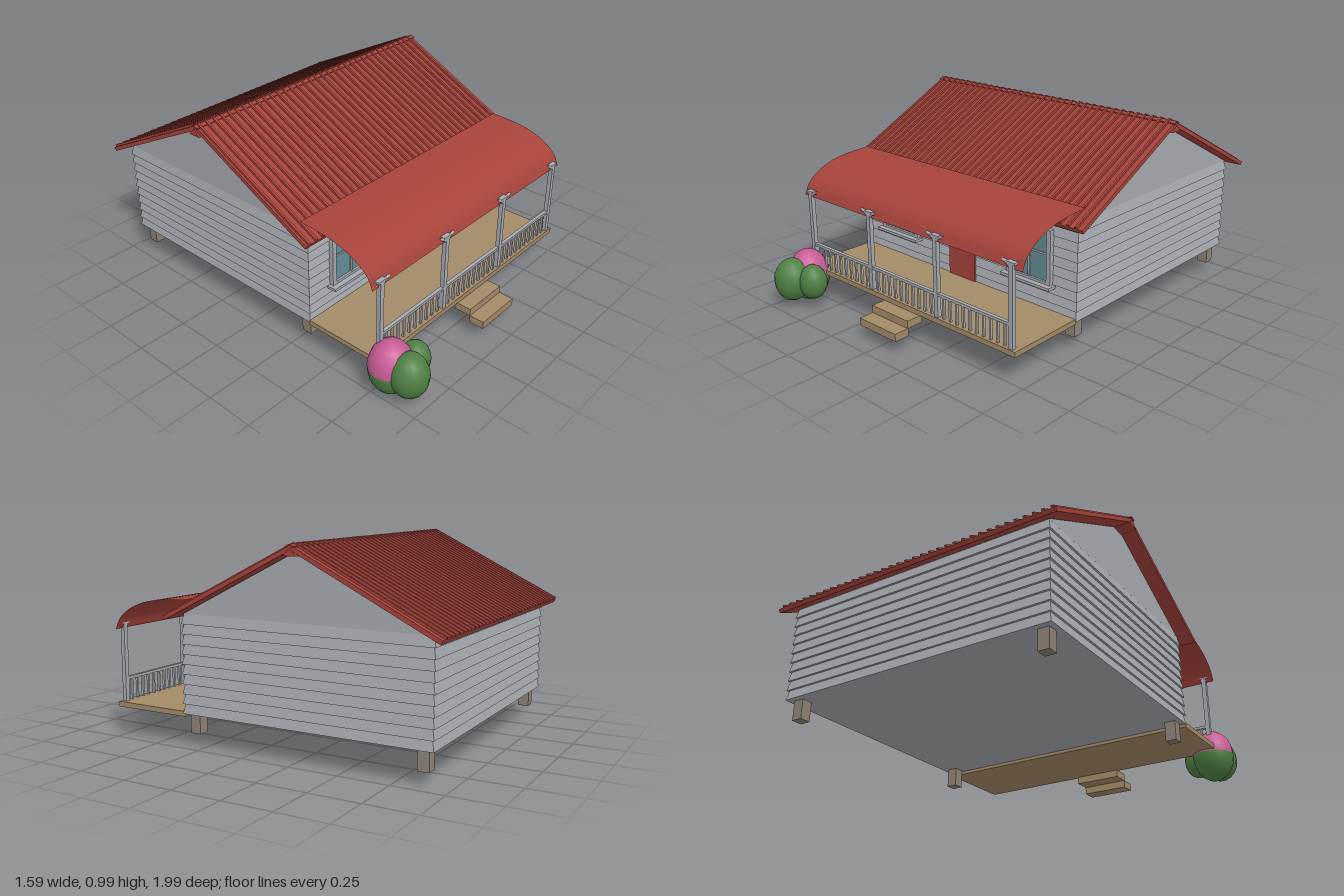
import * as THREE from 'three';

const mat = (name, color, extra = {}) => Object.assign(new THREE.MeshStandardMaterial({ color, ...extra }), { name });

export function createModel() {
  const model = new THREE.Group();
  model.name = 'cottage';
  const grey = mat('greyPaint', 0xa6a9af);
  const red = mat('redRoof', 0xa6433b);
  const redSheet = mat('redSheet', 0xa6433b, { side: THREE.DoubleSide });
  const wood = mat('deckWood', 0xa38a67);
  const stone = mat('pierStone', 0x8d8276);
  const glass = mat('windowGlass', 0x638c94);
  const brass = mat('knobBrass', 0x6b5a3c);
  const green = mat('leafGreen', 0x4f8044);
  const pink = mat('blossomPink', 0xc85c96);

  const add = (name, geo, material, x = 0, y = 0, z = 0, parent = model) => {
    const m = new THREE.Mesh(geo, material);
    m.name = name;
    m.position.set(x, y, z);
    parent.add(m);
    return m;
  };
  // Box given by its centre and size
  const box = (name, material, x, y, z, w, h, d, parent) =>
    add(name, new THREE.BoxGeometry(w, h, d), material, x, y, z, parent);
  // Triangle across z, extruded along x
  const prism = (name, material, halfDepth, y0, y1, z, width) => {
    const s = new THREE.Shape([[-halfDepth, y0], [halfDepth, y0], [0, y1]].map(p => new THREE.Vector2(...p)));
    const g = new THREE.ExtrudeGeometry(s, { depth: width, bevelEnabled: false });
    g.translate(0, 0, -width / 2).rotateY(Math.PI / 2);
    return add(name, g, material, 0, 0, z);
  };

  // Walls: stacked boards, each tapering inwards to its top
  const ridgeZ = -0.29, rows = 10, pitch = 0.048;
  for (let i = 0; i < rows; i++) {
    const g = new THREE.BoxGeometry(1.444, pitch, 1.29);
    const p = g.attributes.position;
    for (let v = 0; v < p.count; v++) {
      if (p.getY(v) > 0) p.setXYZ(v, p.getX(v) * 0.986, p.getY(v), p.getZ(v) * 0.984);
    }
    g.computeVertexNormals();
    add('wallBoard', g, grey, 0, 0.16 + pitch * (i + 0.5), ridgeZ);
  }
  prism('gable', grey, 0.64, 0.64, 0.96, ridgeZ, 1.424);

  // Foundation piers
  for (const x of [-0.667, 0.667]) for (const z of [0.303, -0.877])
    box('pier', stone, x, 0.1125, z, 0.055, 0.1, 0.055);

  // Ribbed roof slopes
  const slope = Math.atan(0.5), len = 0.783;
  for (const s of [1, -1]) {
    const side = new THREE.Group();
    side.name = s > 0 ? 'frontRoof' : 'backRoof';
    side.position.set(0, 0.985, ridgeZ);
    side.rotation.x = s * slope;
    model.add(side);
    box('roofPanel', red, 0, -0.01, s * len / 2, 1.568, 0.02, len, side);
    for (let i = 0; i < 35; i++)
      box('roofRib', red, -0.767 + i * 0.0446, 0.003, s * len / 2, 0.012, 0.016, len, side);
    box('ridgeCap', red, 0, 0.002, s * 0.01, 1.585, 0.006, 0.022, side);
  }
  prism('ridgeBeam', red, 0.035, 0.938, 0.972, ridgeZ, 1.585);

  // Curved porch awning, a single sheet
  const curve = new THREE.CatmullRomCurve3(
    [[0.33, 0.708], [0.45, 0.702], [0.56, 0.685], [0.655, 0.647], [0.72, 0.595], [0.747, 0.54]]
      .map(([z, y]) => new THREE.Vector3(0, y, z)));
  const sheet = new THREE.PlaneGeometry(1.48, 1, 1, 20);
  const sp = sheet.attributes.position;
  for (let v = 0; v < sp.count; v++) {
    const c = curve.getPoint(0.5 - sp.getY(v));
    sp.setXYZ(v, sp.getX(v), c.y, c.z);
  }
  sheet.computeVertexNormals();
  add('awning', sheet, redSheet);

  // Porch deck and steps
  box('deck', wood, -0.003, 0.157, 0.555, 1.435, 0.026, 0.42);
  box('upperStep', wood, -0.004, 0.125, 0.795, 0.25, 0.038, 0.09);
  box('lowerStep', wood, -0.004, 0.087, 0.877, 0.25, 0.038, 0.08);

  // Porch posts with curved brackets
  const postX = [-0.687, -0.231, 0.226, 0.682], porchZ = 0.747;
  postX.forEach((x, i) => {
    box('post', grey, x, 0.37, porchZ, 0.024, 0.4, 0.022);
    for (const s of [-1, 1]) {
      if ((i === 0 && s < 0) || (i === 3 && s > 0)) continue;
      const arc = new THREE.QuadraticBezierCurve3(
        new THREE.Vector3(0, 0.535, 0), new THREE.Vector3(s * 0.015, 0.57, 0), new THREE.Vector3(s * 0.052, 0.57, 0));
      add('bracket', new THREE.TubeGeometry(arc, 6, 0.008, 6), grey, x, 0, porchZ + 0.004);
    }
    box('postCap', grey, x, 0.567, porchZ, 0.05, 0.01, 0.024);
  });

  // Railing
  box('handrail', grey, -0.003, 0.284, porchZ, 1.37, 0.014, 0.018);
  for (let b = 0; b < 3; b++) for (let i = 1; i < 11; i++) {
    const x = postX[b] + (postX[b + 1] - postX[b]) * i / 11;
    box('baluster', grey, x, 0.224, porchZ, 0.011, 0.112, 0.011);
  }

  // Door
  box('door', red, -0.003, 0.34, 0.354, 0.176, 0.34, 0.012);
  add('doorKnob', new THREE.SphereGeometry(0.009, 10, 8), brass, 0.054, 0.33, 0.366);

  // Windows with frame, glazing bars and sill
  for (const x of [-0.448, 0.444]) {
    const w = new THREE.Group();
    w.name = 'window';
    w.position.set(x, 0.435, 0.358);
    model.add(w);
    box('glass', glass, 0, 0, 0, 0.226, 0.25, 0.008, w);
    for (const s of [-1, 1]) {
      box('frameSide', grey, s * 0.123, 0, 0.004, 0.024, 0.274, 0.024, w);
      box('frameRail', grey, 0, s * 0.129, 0.004, 0.27, 0.016, 0.024, w);
    }
    box('verticalBar', grey, 0, 0, 0.004, 0.01, 0.25, 0.01, w);
    box('crossBar', grey, 0, 0.014, 0.004, 0.226, 0.01, 0.01, w);
    box('sill', grey, 0, -0.141, 0.018, 0.3, 0.014, 0.05, w);
  }

  // Flowering bush: blossoms on the upper half of the rear clump
  const clump = (name, material, x, y, z, r, ry, from = 0, span = Math.PI) => {
    const g = new THREE.SphereGeometry(1, 14, span < 3 ? 5 : 10, 0, Math.PI * 2, from, span);
    add(name, g, material, x, y, z).scale.set(r, ry, r);
  };
  clump('blossoms', pink, -0.678, 0.136, 0.806, 0.108, 0.136, 0, Math.PI / 2);
  clump('rearLeaves', green, -0.678, 0.136, 0.806, 0.108, 0.136, Math.PI / 2, Math.PI / 2);
  clump('frontLeaves', green, -0.675, 0.14, 0.908, 0.092, 0.112);
  clump('sideLeaves', green, -0.572, 0.14, 0.857, 0.072, 0.09);

  return model;
}
